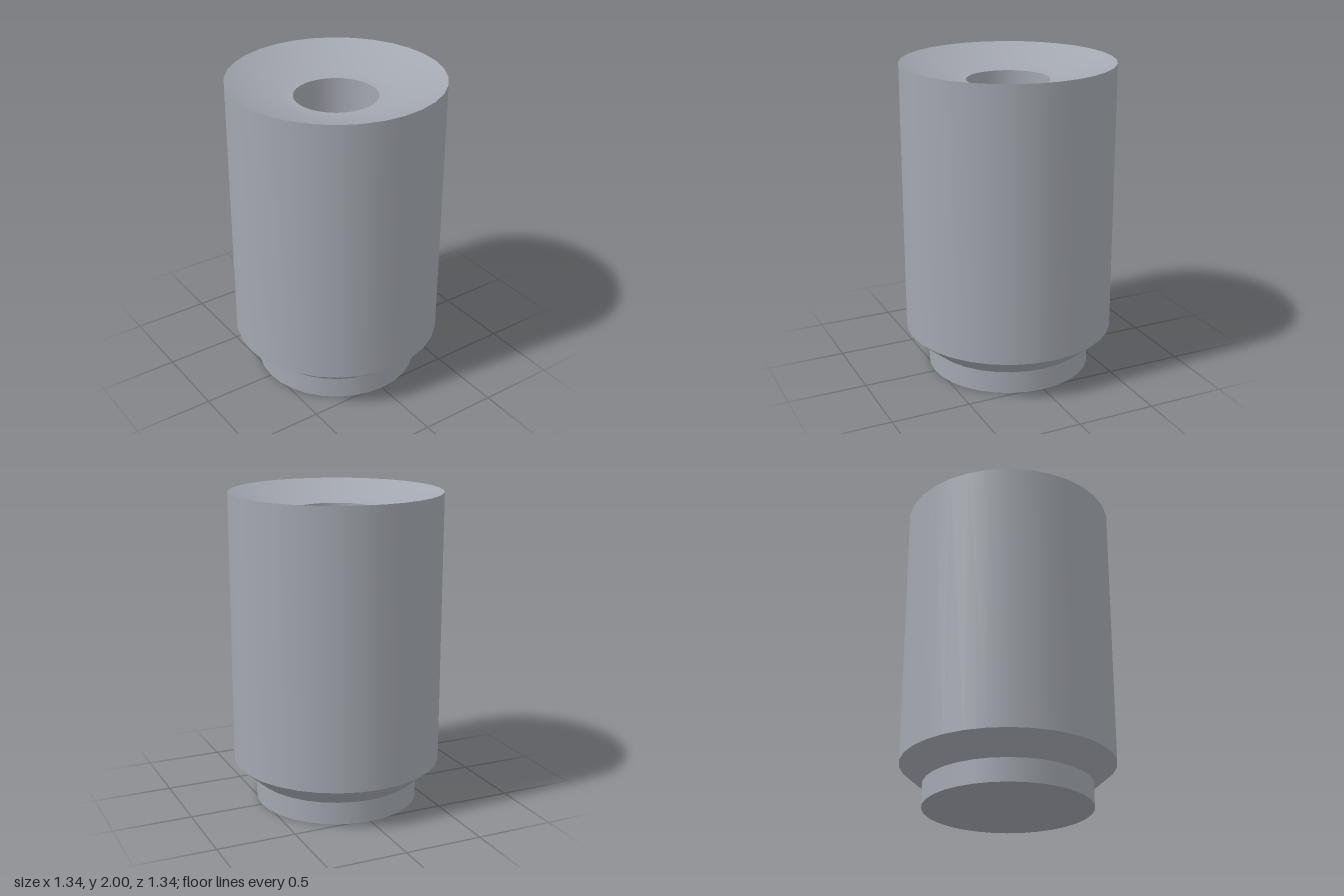
import * as THREE from 'three';

export function createModel() {
  const model = new THREE.Group();
  const steel = new THREE.MeshStandardMaterial({ color: 0xa3a7af });
  steel.name = 'brushed steel grey';

  // Each surface is its own lathe, so edges between them stay sharp.
  // Profiles run bottom to top outside, then inward, so faces point outward.
  function turned(name, profile) {
    const points = profile.map(([r, y]) => new THREE.Vector2(r, y));
    const mesh = new THREE.Mesh(new THREE.LatheGeometry(points, 32), steel);
    mesh.name = name;
    model.add(mesh);
  }

  const bodyR = 0.67, neckR = 0.525, boreR = 0.26;
  const boreTop = 1.887, boreFloor = 1.0;

  // Spherical dish from the rim down to the bore
  const dishR = 1.69;
  const sag = r => dishR - Math.sqrt(dishR * dishR - r * r);
  const dish = [];
  for (let i = 0; i <= 10; i++) {
    const r = THREE.MathUtils.lerp(bodyR, boreR, i / 10);
    dish.push([r, 2 - sag(bodyR) + sag(r)]);
  }
  dish[10][1] = boreTop;

  turned('base', [[0, 0], [neckR, 0]]);
  turned('neck', [[neckR, 0], [neckR, 0.145]]);
  turned('shoulder', [[neckR, 0.145], [bodyR, 0.27]]);
  turned('body', [[bodyR, 0.27], [bodyR, 2]]);
  turned('dish', dish);
  turned('boreWall', [[boreR, boreTop], [boreR, boreFloor]]);
  turned('boreFloor', [[boreR, boreFloor], [0, boreFloor]]);

  return model;
}
